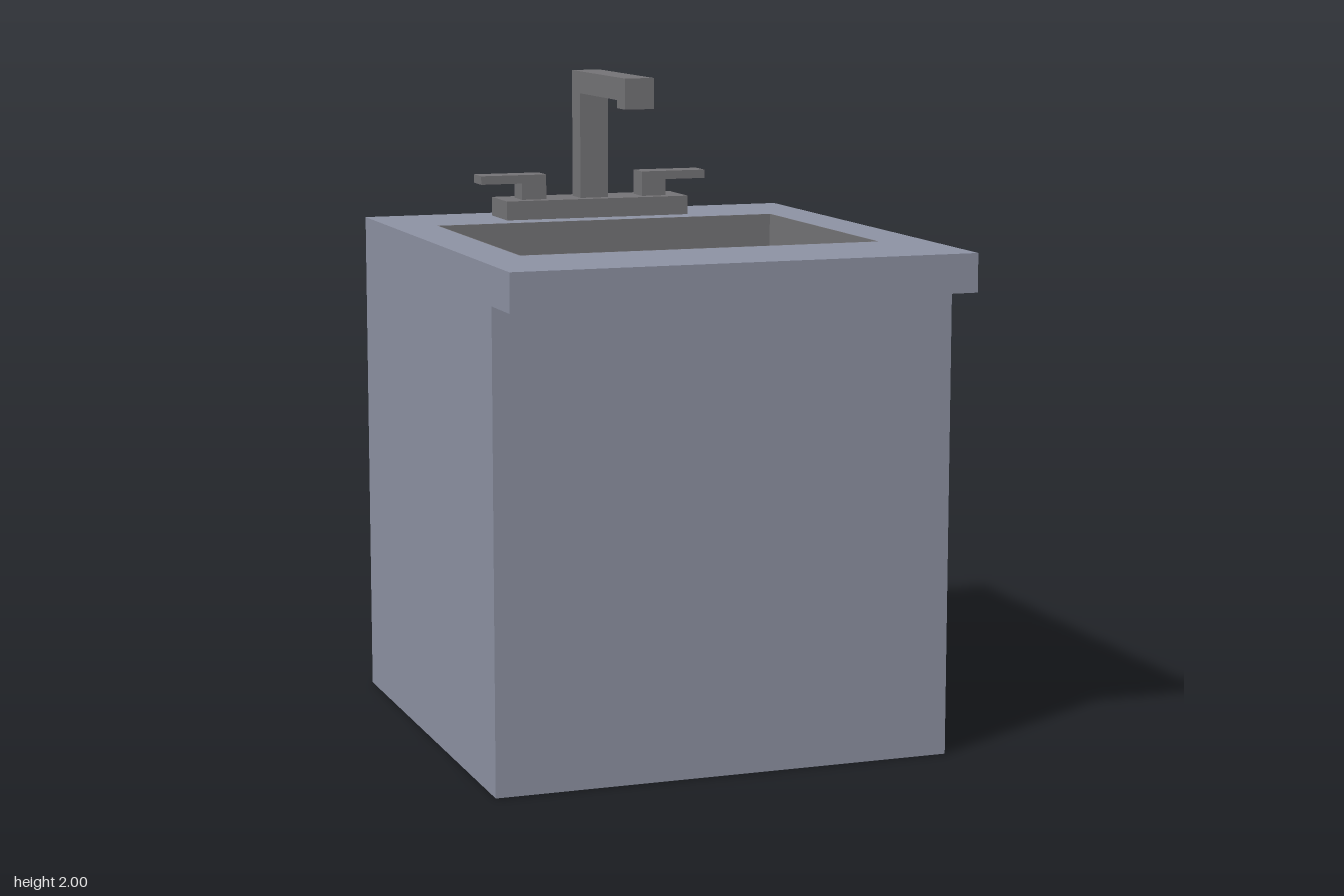
import * as THREE from 'three';

export function createModel() {
  const group = new THREE.Group();
  const cabinetPaint = new THREE.MeshStandardMaterial({ color: 0x8e93a4 });
  const darkMetal = new THREE.MeshStandardMaterial({ color: 0x757477 });

  function add(name, geometry, material, parent = group) {
    const mesh = new THREE.Mesh(geometry, material);
    mesh.name = name;
    parent.add(mesh);
    return mesh;
  }

  // Box given by its limits on each axis
  function box(name, [x0, x1], [y0, y1], [z0, z1], material, parent) {
    const geometry = new THREE.BoxGeometry(x1 - x0, y1 - y0, z1 - z0);
    geometry.translate((x0 + x1) / 2, (y0 + y1) / 2, (z0 + z1) / 2);
    return add(name, geometry, material, parent);
  }

  function rectangle(Type, [x0, x1], [z0, z1]) {
    // shape y becomes -z once the extrusion is laid flat
    return new Type([[x0, -z1], [x1, -z1], [x1, -z0], [x0, -z0]].map(p => new THREE.Vector2(...p)));
  }

  // Rectangular ring with a rectangular opening, standing between two heights
  function frame(name, xs, zs, holeXs, holeZs, [y0, y1], material) {
    const shape = rectangle(THREE.Shape, xs, zs);
    shape.holes.push(rectangle(THREE.Path, holeXs, holeZs));
    const geometry = new THREE.ExtrudeGeometry(shape, { depth: y1 - y0, bevelEnabled: false });
    geometry.rotateX(-Math.PI / 2).translate(0, y0, 0);
    return add(name, geometry, material);
  }

  const width = [-0.705, 0.705], depth = [-0.795, 0.62], topDepth = [-0.795, 0.795];
  const basinX = [-0.557, 0.555], basinZ = [-0.455, 0.415];
  const floorY = 1.13, slabY = 1.42, topY = 1.535;
  const grow = ([a, b]) => [a - 0.003, b + 0.003];

  // Cabinet, and the countertop that overhangs at the front
  box('cabinetBase', width, [0, floorY], depth, cabinetPaint);
  frame('cabinetUpperWalls', width, depth, grow(basinX), grow(basinZ), [floorY, slabY], cabinetPaint);
  frame('countertop', width, topDepth, grow(basinX), grow(basinZ), [slabY, topY], cabinetPaint);

  // Sunken basin
  frame('basinWalls', grow(basinX), grow(basinZ), basinX, basinZ, [floorY, topY], darkMetal);
  box('basinFloor', basinX, [floorY, floorY + 0.006], basinZ, darkMetal);

  // Tap: mounting plate, bent spout and two handles
  const tap = new THREE.Group();
  tap.name = 'tap';
  tap.position.x = -0.0025;
  group.add(tap);
  const plateY = 1.595, stemZ = [-0.662, -0.58];
  box('mountingPlate', [-0.305, 0.305], [topY, plateY], [-0.71, -0.54], darkMetal, tap);

  // Side profile of the spout as (z, y), extruded across x
  const profile = [
    [-0.662, plateY], [-0.58, plateY], [-0.58, 1.93], [-0.213, 1.93],
    [-0.213, 1.905], [-0.14, 1.905], [-0.14, 2], [-0.662, 2],
  ].map(([z, y]) => new THREE.Vector2(-z, y));
  const spout = new THREE.ExtrudeGeometry(new THREE.Shape(profile), { depth: 0.094, bevelEnabled: false });
  spout.translate(0, 0, -0.047).rotateY(Math.PI / 2);
  add('spout', spout, darkMetal, tap);

  for (const [side, s] of [['left', 1], ['right', -1]]) {
    const span = (a, b) => (s > 0 ? [a, b] : [-b, -a]);
    box(side + 'HandleStem', span(0.162, 0.243), [plateY, 1.647], stemZ, darkMetal, tap);
    box(side + 'HandleLever', span(0.162, 0.378), [1.647, 1.674], stemZ, darkMetal, tap);
  }
  return group;
}
